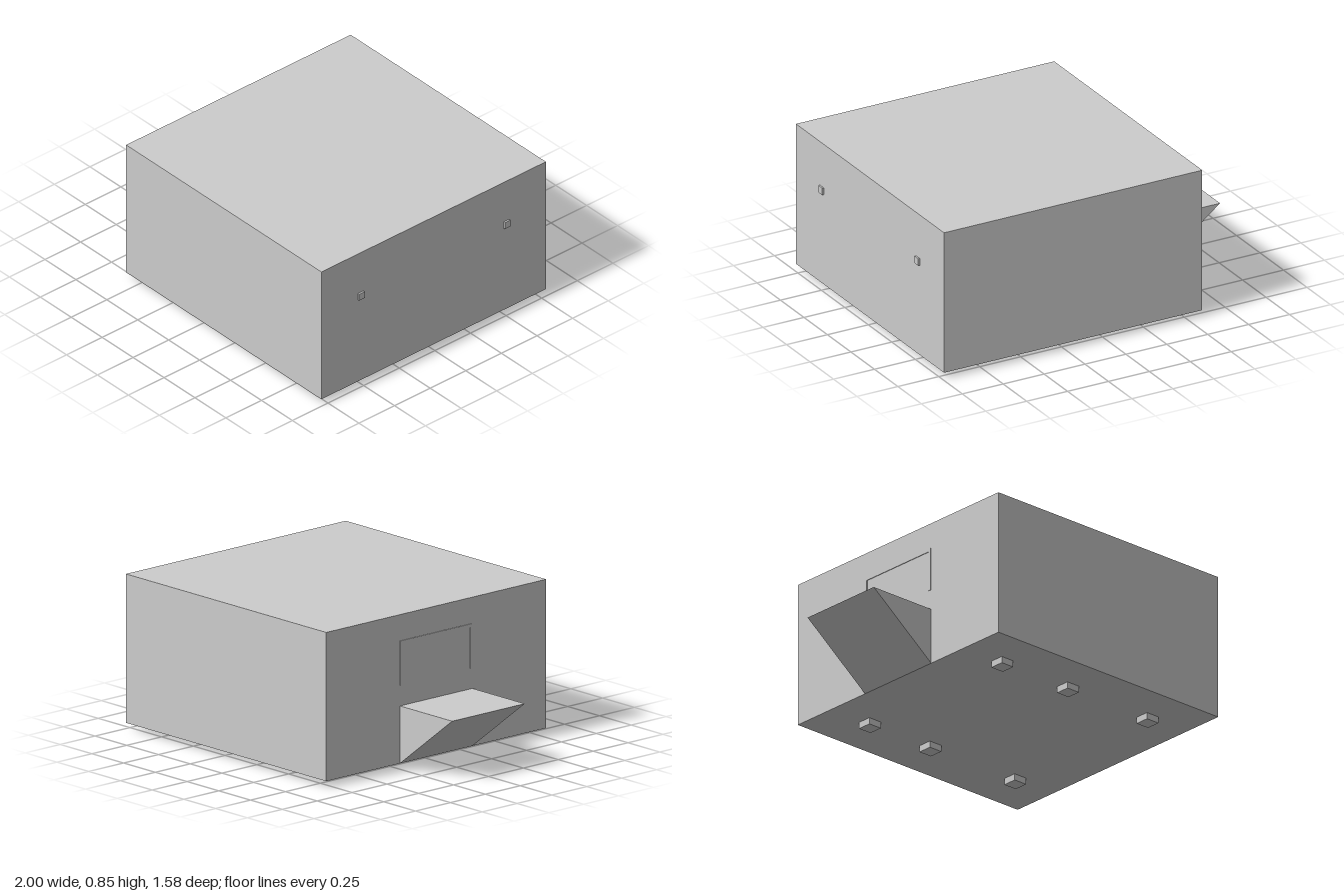
import * as THREE from 'three';

export function createModel() {
  const model = new THREE.Group();
  const material = new THREE.MeshStandardMaterial({ color: 0xcccccc, flatShading: true });

  function add(name, geometry, x = 0, y = 0, z = 0) {
    const mesh = new THREE.Mesh(geometry, material);
    mesh.name = name;
    mesh.position.set(x, y, z);
    model.add(mesh);
    return mesh;
  }

  // Main housing
  const left = -0.588, right = 0.99, bottom = 0.036, top = 0.854, depth = 1.576;
  add('housing', new THREE.BoxGeometry(right - left, top - bottom, depth),
    (left + right) / 2, (top + bottom) / 2, 0);

  // Wedge-shaped shelf, a triangle extruded along z
  const shelfWidth = 0.52;
  const profile = new THREE.Shape();
  profile.moveTo(left, bottom);
  profile.lineTo(left, 0.352);
  profile.lineTo(-1, 0.352);
  profile.closePath();
  add('shelf', new THREE.ExtrudeGeometry(profile, { depth: shelfWidth, bevelEnabled: false }),
    0, 0, -shelfWidth / 2);

  // Thin inverted-U trim above the shelf
  const w = shelfWidth / 2, t = 0.018, y0 = 0.465, y1 = 0.71;
  const trim = new THREE.Shape();
  [[-w, y0], [-w + t, y0], [-w + t, y1 - t], [w - t, y1 - t], [w - t, y0], [w, y0], [w, y1], [-w, y1]]
    .forEach(([x, y], i) => (i ? trim.lineTo(x, y) : trim.moveTo(x, y)));
  trim.closePath();
  add('openingTrim', new THREE.ExtrudeGeometry(trim, { depth: 0.004, bevelEnabled: false }), left)
    .rotation.y = -Math.PI / 2;

  // Small square buttons on the +x wall
  for (const z of [-0.511, 0.512]) {
    add('button', new THREE.BoxGeometry(0.01, 0.04, 0.04), right + 0.005, 0.58, z);
  }

  // Two rows of three feet, the middle pair slightly staggered
  for (const [z, middle] of [[-0.506, 0.106], [0.534, 0.144]]) {
    for (const x of [-0.328, middle, 0.715]) {
      add('foot', new THREE.BoxGeometry(0.082, bottom, 0.082), x, bottom / 2, z);
    }
  }

  return model;
}
